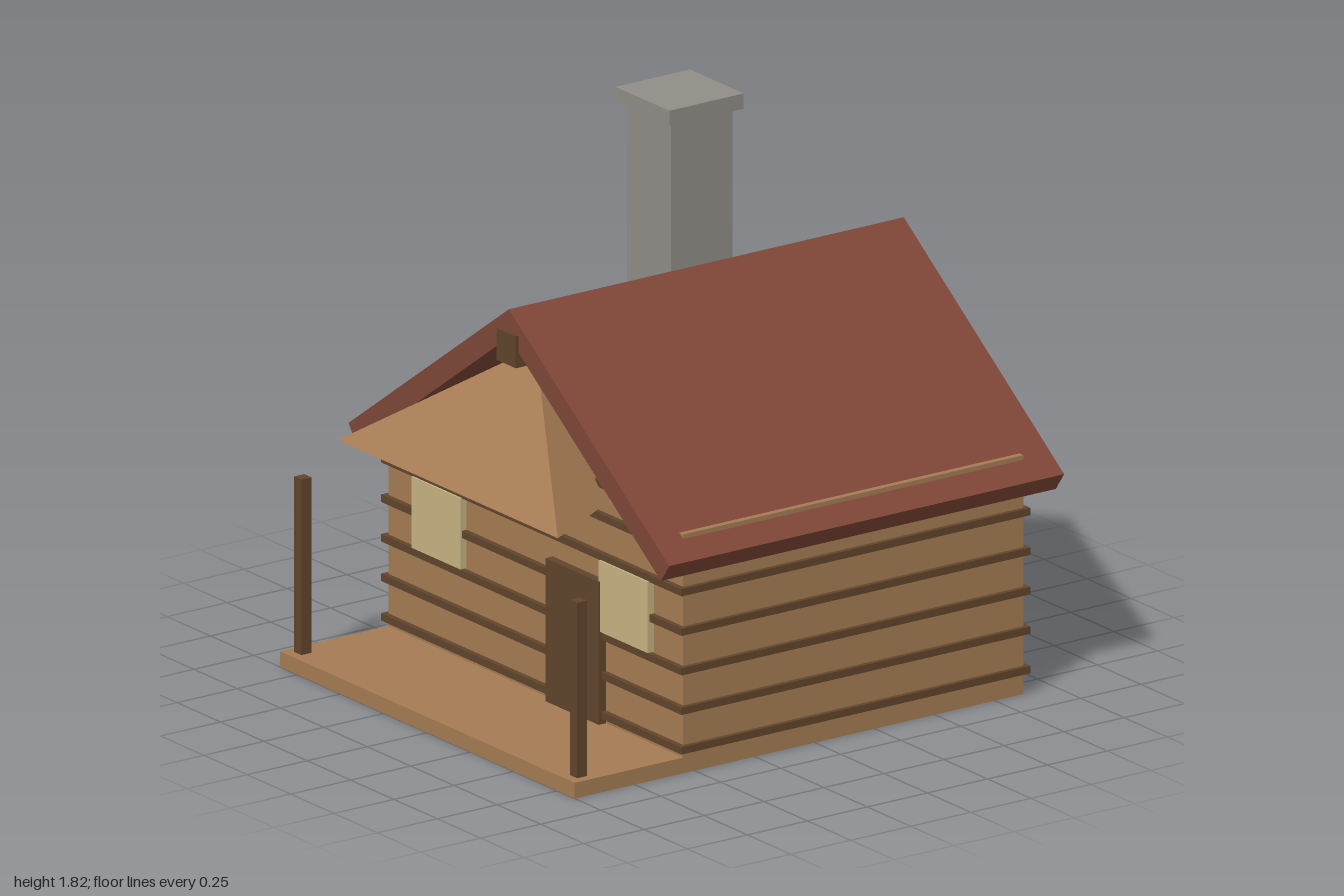
import * as THREE from 'three';

const mat = (name, color) => {
  const m = new THREE.MeshStandardMaterial({ color });
  m.name = name;
  return m;
};

export function createModel() {
  const house = new THREE.Group();
  house.name = 'logCabin';
  const wood = mat('tan wood', 0xa67c54);
  const dark = mat('dark wood', 0x61452c);
  const red = mat('red roof', 0x7f4738);
  const stone = mat('grey stone', 0x908e87);
  const pane = mat('pale window', 0xc8b482);

  const add = (name, geo, material) => {
    const m = new THREE.Mesh(geo, material);
    m.name = name;
    house.add(m);
    return m;
  };
  // Box given by its limits on each axis
  const box = (name, material, x0, x1, y0, y1, z0, z1) => {
    const m = add(name, new THREE.BoxGeometry(x1 - x0, y1 - y0, z1 - z0), material);
    m.position.set((x0 + x1) / 2, (y0 + y1) / 2, (z0 + z1) / 2);
    return m;
  };

  // Cabin body and porch deck
  box('walls', wood, -0.85, 0.85, 0, 0.852, -0.87, 0.548);
  box('porchDeck', wood, -0.85, 0.85, 0, 0.056, 0.548, 1);

  // Log bands around all four walls, and one across the gable
  for (let i = 0; i < 6; i++) {
    const y = 0.088 + i * 0.141;
    box('logBand', dark, -0.867, 0.867, y - 0.013, y + 0.013, -0.887, 0.567);
  }
  box('gableBand', dark, -0.58, 0.58, 0.897, 0.922, 0.54, 0.567);

  // Three-sided gable, its flat face to the front
  const gable = add('gable', new THREE.ConeGeometry(0.733, 0.433, 3).toNonIndexed(), wood);
  gable.geometry.computeVertexNormals();
  gable.rotation.y = Math.PI;
  gable.position.set(0, 0.852 + 0.2165, 0.548);

  // Roof slopes meeting at the ridge
  for (const s of [-1, 1]) {
    const shape = new THREE.Shape([
      [0, 1.443], [0, 1.343], [0.877, 0.716], [0.925, 0.782],
    ].map(([x, y]) => new THREE.Vector2(s * x, y)));
    const geo = new THREE.ExtrudeGeometry(shape, { depth: 1.645, bevelEnabled: false });
    add(s < 0 ? 'roofRight' : 'roofLeft', geo.translate(0, 0, -0.985), red);
  }
  box('ridgeBeam', dark, -0.056, 0.056, 1.25, 1.364, -1, 0.672);

  // Chimney with cap
  box('chimney', stone, -0.752, -0.497, 0.8, 1.767, -0.63, -0.375);
  box('chimneyCap', stone, -0.78, -0.47, 1.766, 1.82, -0.658, -0.348);

  // Door, windows and porch posts
  box('door', dark, 0.098, 0.406, 0.056, 0.566, 0.54, 0.579);
  for (const s of [-1, 1]) {
    box('window', pane, s * 0.54 - 0.141, s * 0.54 + 0.141, 0.387, 0.641, 0.54, 0.574);
    box('porchPost', dark, s * 0.795 - 0.021, s * 0.795 + 0.021, 0.056, 0.682, 0.923, 0.965);
  }
  return house;
}
